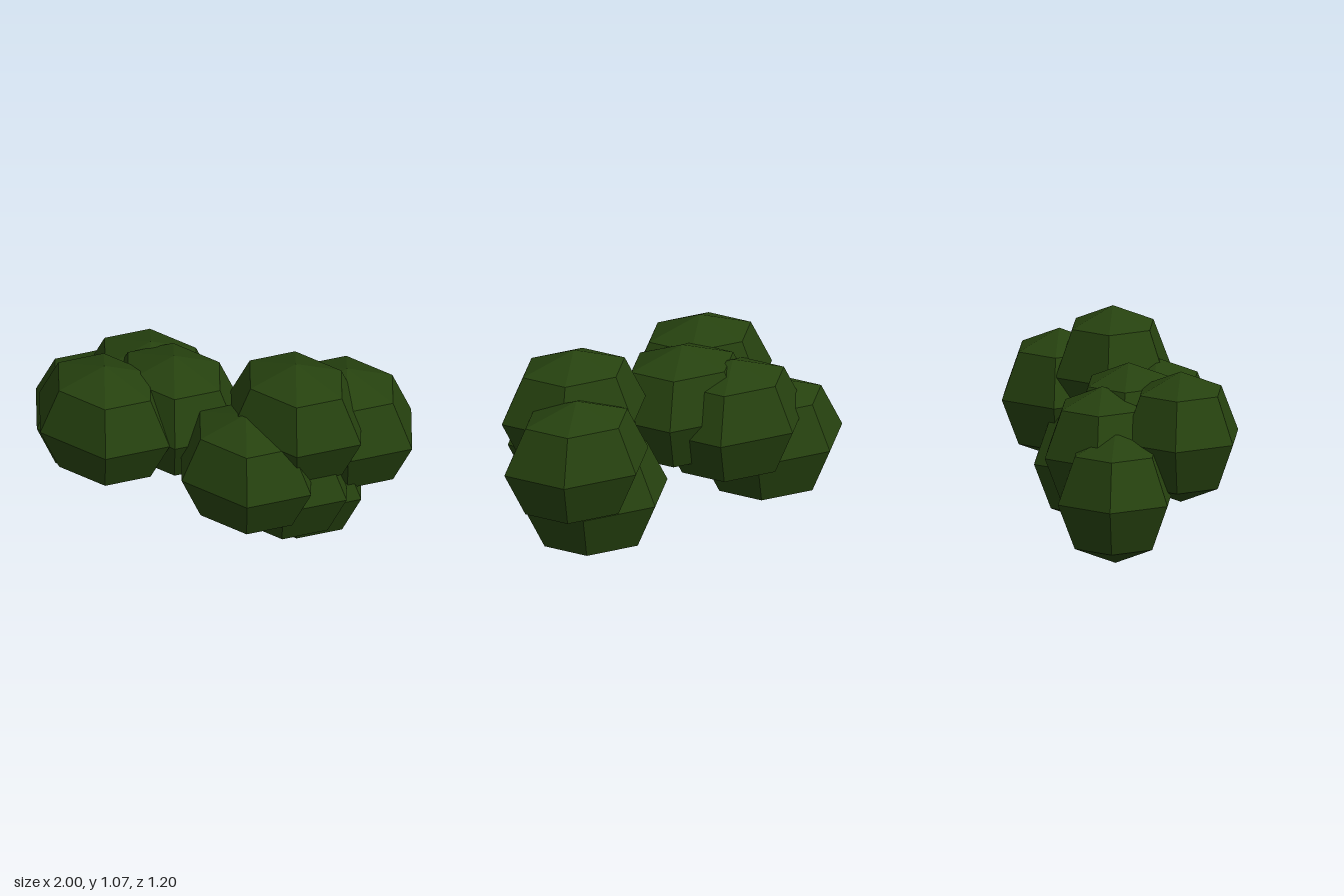
import * as THREE from 'three';

export function createModel() {
  const group = new THREE.Group();
  group.name = 'bush';
  const leafGreen = new THREE.MeshStandardMaterial({ color: 0x26420f, flatShading: true });
  leafGreen.name = 'leafGreen';

  // One low-poly leaf clump, six sides and four rings, shared by all
  const clumpShape = new THREE.SphereGeometry(1, 6, 4);
  clumpShape.scale(0.39, 0.325, 0.31);

  // Clump centres
  const clumps = {
    backLeftClump: [0.61, 0.61, -0.33],
    topClump: [0.495, 0.75, -0.06],
    frontLeftClump: [0.355, 0.52, 0.165],
    lowerLeftClump: [0.425, 0.33, -0.16],
    innerLeftClump: [0.43, 0.405, -0.03],
    middleClump: [-0.15, 0.6, 0.06],
    frontRightClump: [-0.375, 0.605, 0.33],
    backRightClump: [-0.37, 0.525, -0.055],
    lowerRightClump: [-0.61, 0.345, 0.025],
  };
  for (const [name, centre] of Object.entries(clumps)) {
    const mesh = new THREE.Mesh(clumpShape, leafGreen);
    mesh.name = name;
    mesh.position.set(...centre);
    group.add(mesh);
  }
  return group;
}
